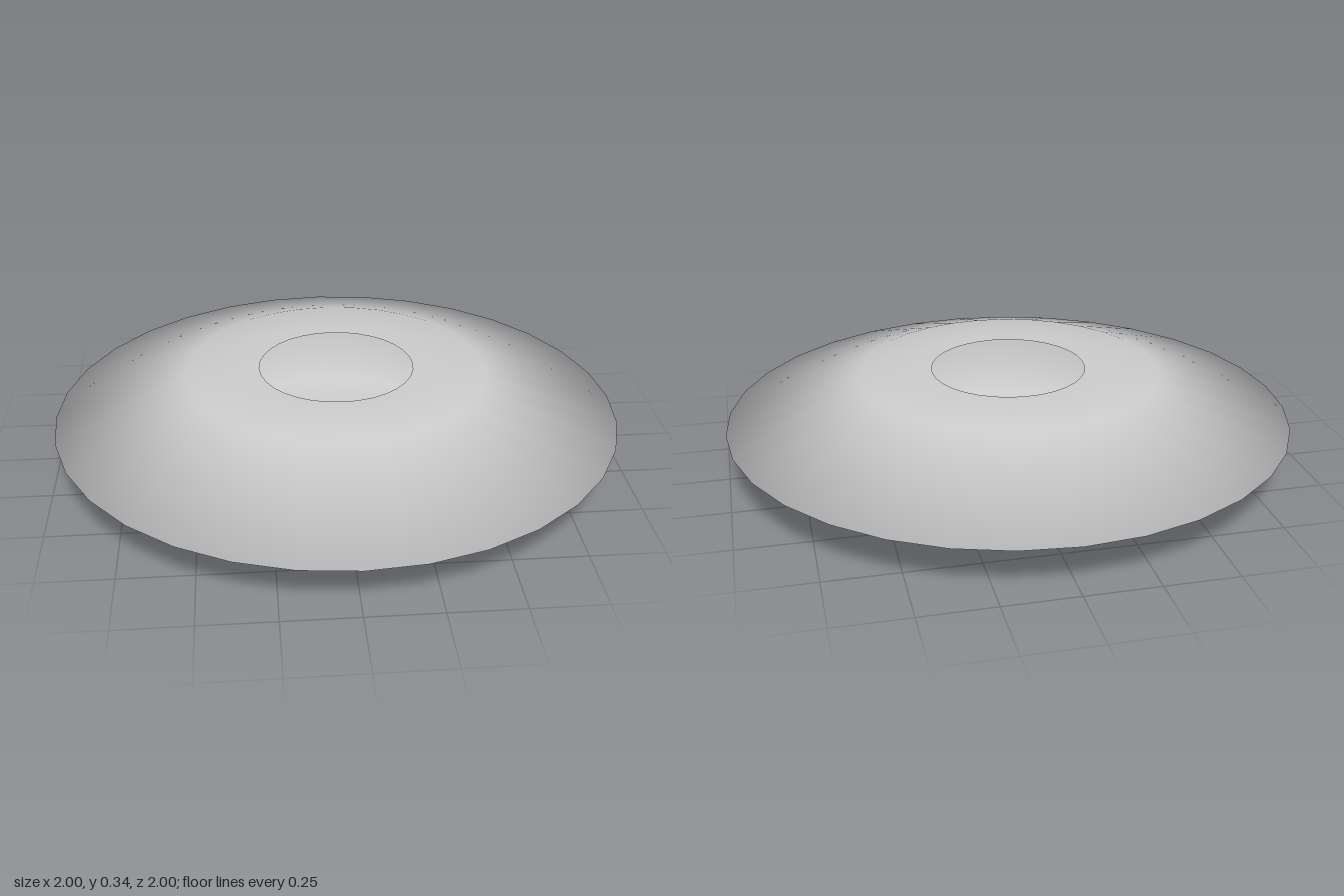
import * as THREE from 'three';

export function createModel() {
  const group = new THREE.Group();
  group.name = 'disc';

  const material = new THREE.MeshStandardMaterial({ color: 0xcccccc, side: THREE.DoubleSide });

  // Upper half of the shell profile: radius and height above the mid plane, rim to hole
  const rimHeight = 0.168;
  const upper = [[1, 0], [0.53, 0.158], [0.35, 0.167], [0.273, 0.168]];

  // Mirror it below the mid plane, then run from the lower hole around the rim to the upper hole
  const lower = upper.slice(1).reverse().map(([r, h]) => [r, -h]);
  const profile = [...lower, ...upper].map(([r, h]) => new THREE.Vector2(r, rimHeight + h));

  // Hollow shell, smooth across the rim and open at both holes
  const shell = new THREE.Mesh(new THREE.LatheGeometry(profile, 32), material);
  shell.name = 'discShell';
  group.add(shell);

  return group;
}
